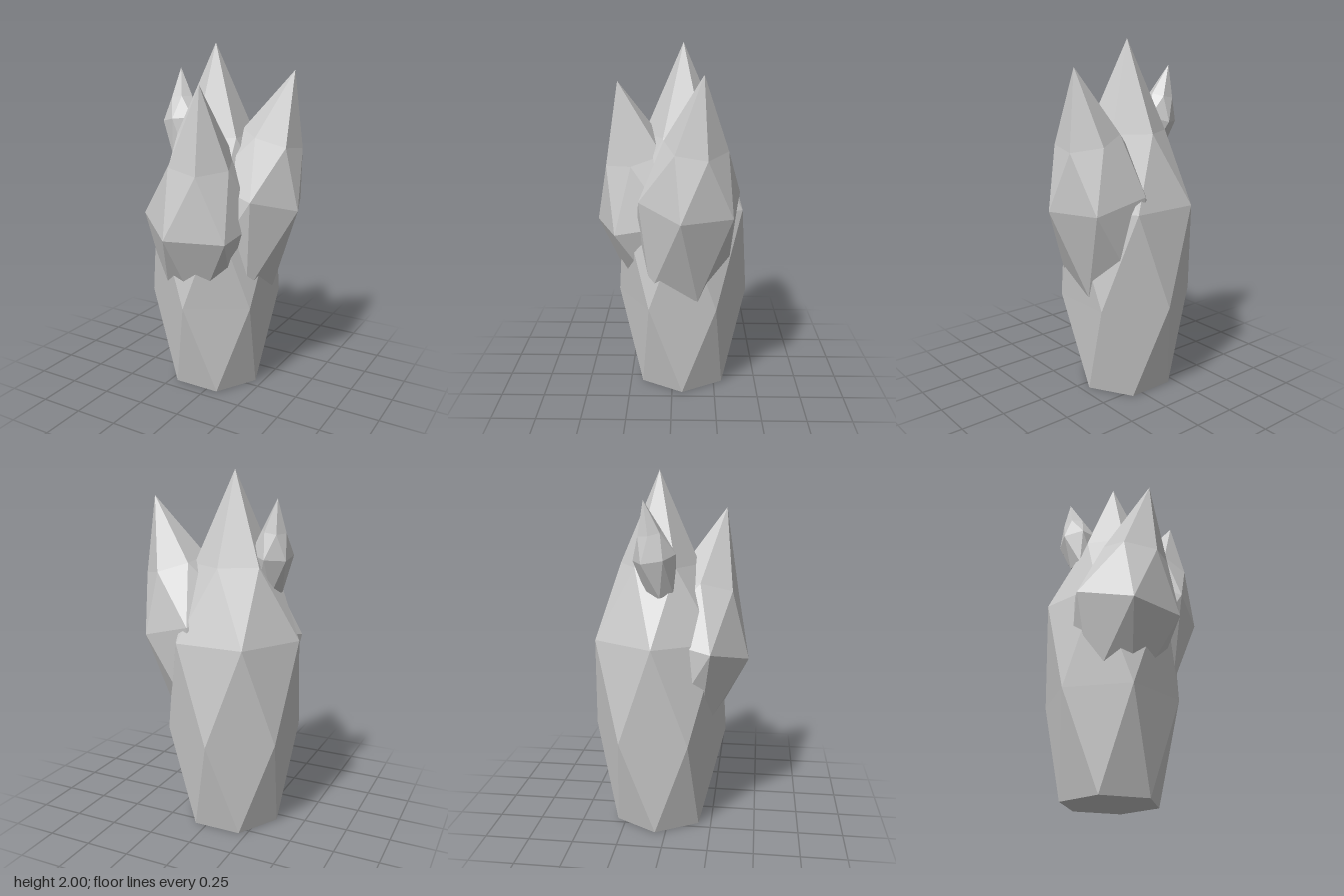
import * as THREE from 'three';

const SIDES = 6;
const V = (x, y, z) => new THREE.Vector3(x, y, z);

// Six-sided faceted crystal: rings of [height, radius] measured along the axis
// from the girdle centre, each ring turned half a step against the one below.
// `corner` is one corner of the girdle (ring number girdleIndex).
function crystal(name, material, centre, apex, corner, rings, girdleIndex) {
  const axis = apex.clone().sub(centre).normalize();
  const u = corner.clone().sub(centre);
  u.addScaledVector(axis, -u.dot(axis)).normalize();
  const v = axis.clone().cross(u);

  const loops = rings.map(([height, radius], k) =>
    Array.from({ length: SIDES }, (_, i) => {
      const a = ((i + (k - girdleIndex) / 2) * Math.PI * 2) / SIDES;
      return centre.clone()
        .addScaledVector(axis, height)
        .addScaledVector(u, radius * Math.cos(a))
        .addScaledVector(v, radius * Math.sin(a));
    }));

  const triangles = [];
  const base = centre.clone().addScaledVector(axis, rings[0][0]);
  const top = loops[loops.length - 1];
  for (let i = 0; i < SIDES; i++) {
    const j = (i + 1) % SIDES;
    triangles.push(base, loops[0][j], loops[0][i]);
    for (let k = 0; k + 1 < loops.length; k++) {
      const low = loops[k], high = loops[k + 1];
      triangles.push(low[i], low[j], high[i], low[j], high[j], high[i]);
    }
    triangles.push(top[i], top[j], apex);
  }

  const geometry = new THREE.BufferGeometry().setFromPoints(triangles);
  geometry.computeVertexNormals();
  const mesh = new THREE.Mesh(geometry, material);
  mesh.name = name;
  return mesh;
}

export function createModel() {
  const group = new THREE.Group();
  group.name = 'crystalCluster';
  const material = new THREE.MeshStandardMaterial({ color: 0xcccccc, flatShading: true });

  // Tall main crystal standing on a flat hexagonal base
  group.add(crystal('mainCrystal', material,
    V(-0.07, 1.1, -0.06), V(-0.07, 2, -0.06), V(0.315, 1.1, -0.06),
    [[-1.1, 0.275], [-0.55, 0.38], [0, 0.385], [0.4, 0.22]], 2));

  // Side crystals growing out of the main one
  group.add(crystal('frontCrystal', material,
    V(-0.055, 1.05, 0.12), V(0.04, 1.8, 0.3), V(-0.11, 0.975, 0.44),
    [[-0.5, 0.22], [0, 0.334], [0.345, 0.19]], 1));

  group.add(crystal('leftCrystal', material,
    V(0.17, 1.185, -0.1), V(0.365, 1.86, -0.165), V(0.455, 1.115, -0.05),
    [[-0.52, 0.27], [0, 0.3], [0.313, 0.175]], 1));

  group.add(crystal('smallRightCrystal', material,
    V(-0.29, 1.56, -0.06), V(-0.335, 1.855, -0.11), V(-0.29, 1.56, 0.06),
    [[-0.2, 0.08], [0, 0.117], [0.13, 0.068]], 1));

  return group;
}
